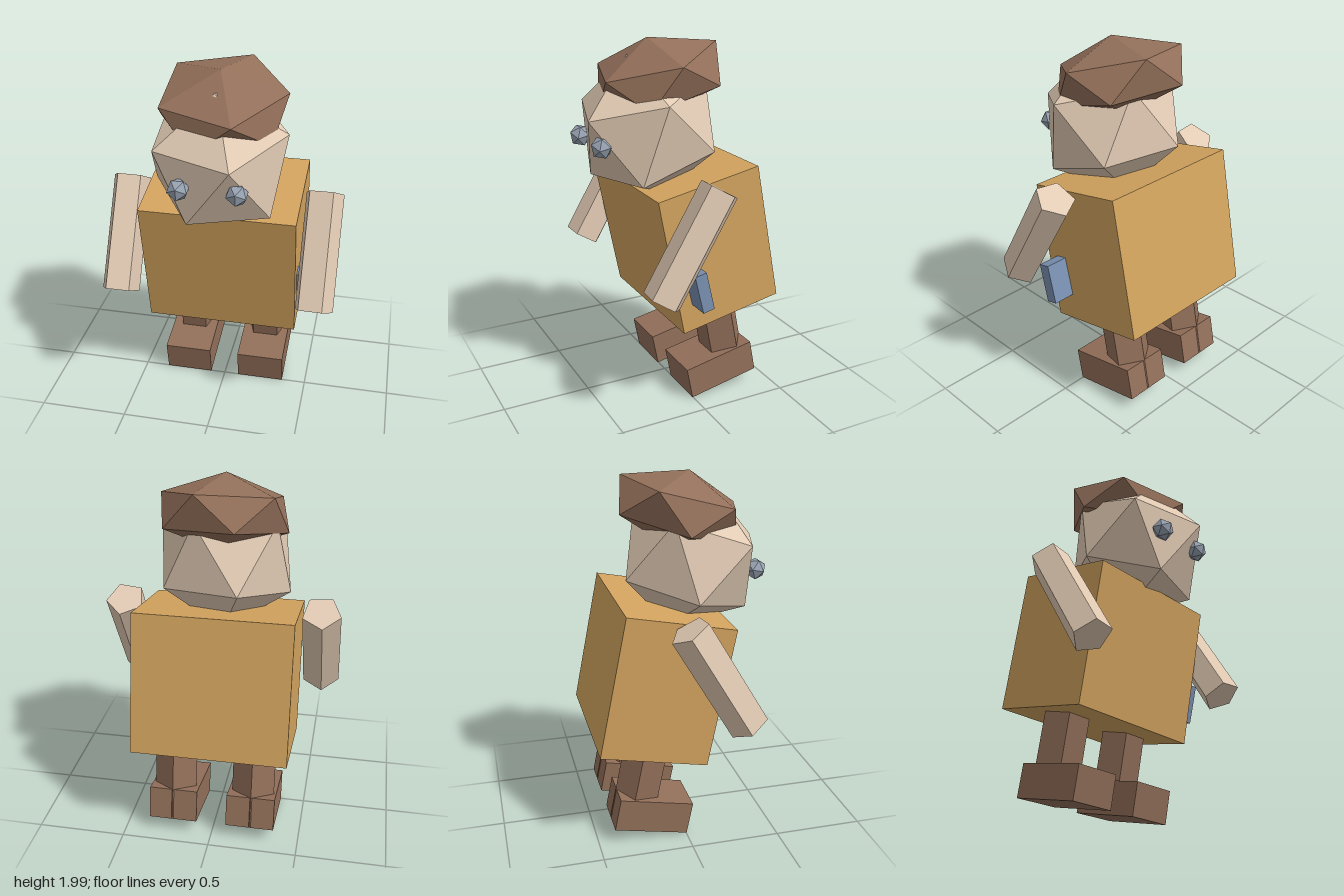
import * as THREE from 'three';
import { ConvexGeometry } from 'three/addons/geometries/ConvexGeometry.js';

const mat = (name, color) => {
  const m = new THREE.MeshStandardMaterial({ color, flatShading: true });
  m.name = name;
  return m;
};

// Skewed twelve-cornered solid: six corners plus their mirror points through the centre
function gem(center, corners) {
  const c = new THREE.Vector3(...center);
  const points = [];
  for (const k of corners) {
    const p = new THREE.Vector3(...k);
    points.push(p, c.clone().multiplyScalar(2).sub(p));
  }
  return new ConvexGeometry(points);
}

export function createModel() {
  const model = new THREE.Group();
  const ochre = mat('ochre', 0xd3a45f);
  const skin = mat('pale skin', 0xe2cbb4);
  const brown = mat('brown', 0x93705a);
  const blue = mat('blue', 0x7a90b2);
  const grey = mat('eye grey', 0x98a3b2);

  function add(name, geometry, material, pos = [0, 0, 0], rot = [0, 0, 0]) {
    const mesh = new THREE.Mesh(geometry, material);
    mesh.name = name;
    mesh.position.set(...pos);
    mesh.rotation.set(...rot);
    model.add(mesh);
    return mesh;
  }

  const lean = 0.198; // forward lean shared by body, legs and feet

  // Body
  add('body', new THREE.BoxGeometry(0.86, 0.785, 0.6), ochre, [0, 0.908, -0.12], [lean, 0, 0]);

  // Head
  add('head', gem([0, 1.53, 0.11], [
    [0.365, 1.70, 0.155], [0.12, 1.61, 0.495], [-0.3, 1.64, 0.365],
    [-0.124, 1.258, 0.395], [0.295, 1.275, 0.27], [0, 1.918, 0.223],
  ]), skin);

  // Cap of hair, tilted to the front
  add('hair', gem([0, 1.8, 0.045], [
    [0, 2.0, 0.105], [-0.286, 1.942, -0.13], [0.108, 1.975, -0.25],
    [0.349, 1.887, 0.07], [0.108, 1.8, 0.39], [-0.286, 1.835, 0.27],
  ]), brown);

  // Paired parts
  const legLength = 0.6;
  for (const s of [1, -1]) {
    const side = s > 0 ? 'left' : 'right';
    add(side + 'Eye', new THREE.IcosahedronGeometry(0.061, 0), grey, [s * 0.15, 1.477, 0.437], [lean, 0, 0]);
    add(side + 'Arm', new THREE.CylinderGeometry(0.11, 0.11, 0.646, 5), skin,
      [s * 0.545, 1.018, 0.124], [-0.535, Math.PI - s * 0.11, 0]);
    add(side + 'Leg', new THREE.CylinderGeometry(0.127, 0.127, legLength, 5), brown,
      [s * 0.226, 0.067 + Math.cos(lean) * legLength / 2, -0.288 + Math.sin(lean) * legLength / 2],
      [lean, Math.PI, 0]);
    add(side + 'Foot', new THREE.BoxGeometry(0.275, 0.186, 0.42), brown, [s * 0.223, 0.1375, -0.185], [lean, 0, 0]);
  }

  // Small block on the left hip
  add('hipBlock', new THREE.BoxGeometry(0.19, 0.222, 0.068), blue, [0.46, 0.745, 0.044], [0.24, 0, 0]);

  return model;
}
